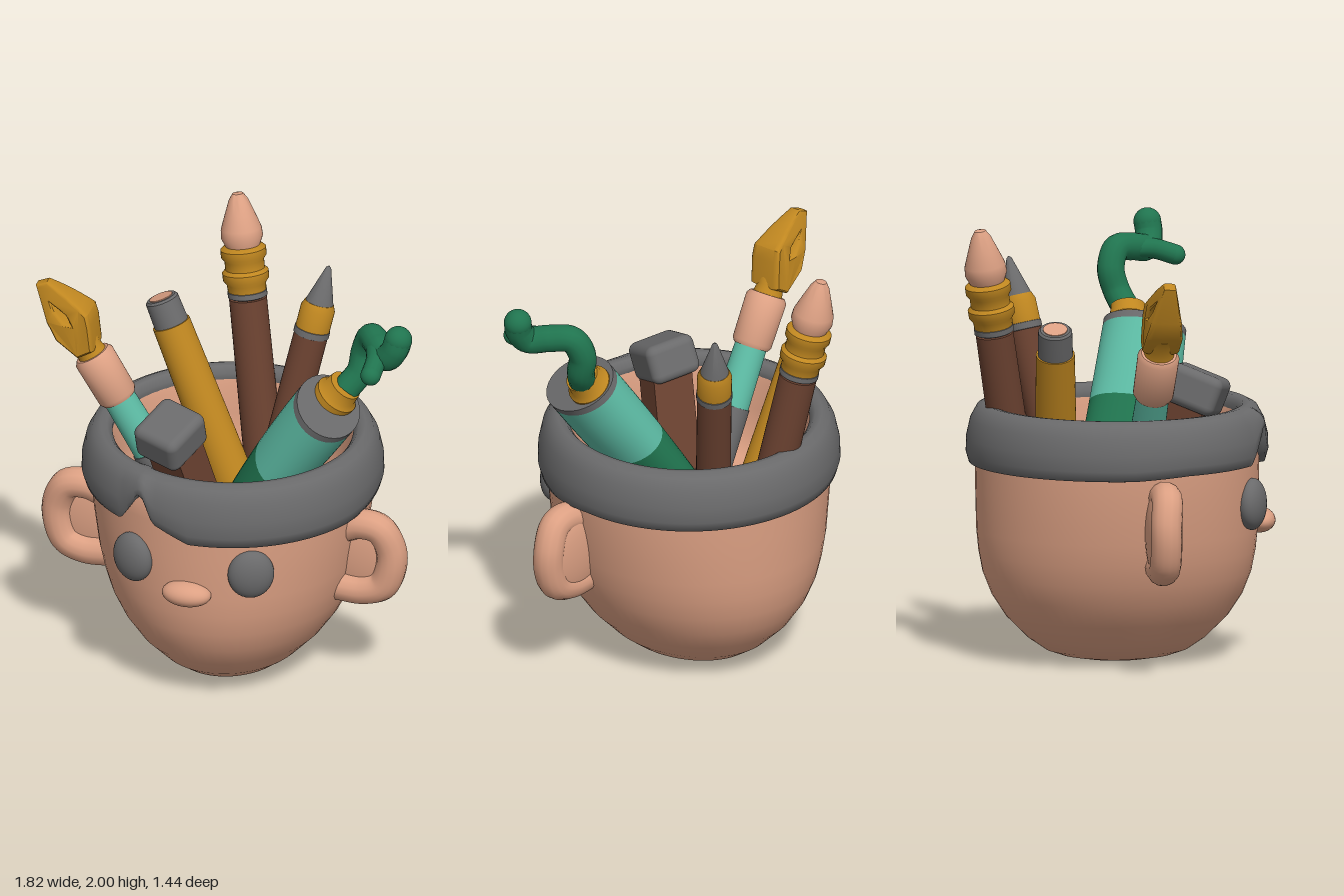
import * as THREE from 'three';
import { toCreasedNormals } from 'three/addons/utils/BufferGeometryUtils.js';
import { RoundedBoxGeometry } from 'three/addons/geometries/RoundedBoxGeometry.js';

const paint = (name, color) => Object.assign(new THREE.MeshStandardMaterial({ color }), { name });
const V = (x, y, z) => new THREE.Vector3(x, y, z);
const UP = V(0, 1, 0);
const { lerp, clamp } = THREE.MathUtils;

export function createModel() {
  const skin = paint('skin', 0xdca083);
  const gray = paint('gray', 0x6a6a6b);
  const brown = paint('brown', 0x6a4130);
  const gold = paint('gold', 0xc08720);
  const teal = paint('teal', 0x5cbaa3);
  const green = paint('green', 0x20744f);

  const root = new THREE.Group();
  root.name = 'headPenHolder';
  const CX = -0.025;

  function add(parent, name, geo, mat, pos = [0, 0, 0]) {
    const m = new THREE.Mesh(geo, mat);
    m.name = name;
    m.position.set(...pos);
    parent.add(m);
    return m;
  }
  const lathe = (pts, seg = 32) =>
    new THREE.LatheGeometry(pts.map(([r, y]) => new THREE.Vector2(r, y)), seg);
  function blob(parent, name, mat, pos, size, turn = 0) {
    const m = add(parent, name, new THREE.SphereGeometry(1, 32, 20), mat, pos);
    m.scale.set(...size);
    m.rotation.y = turn;
    return m;
  }
  // Moves each vertex by a rule
  function bend(geo, rule) {
    const p = geo.attributes.position, v = V(0, 0, 0);
    for (let i = 0; i < p.count; i++) {
      rule(v.fromBufferAttribute(p, i));
      p.setXYZ(i, v.x, v.y, v.z);
    }
    geo.computeVertexNormals();
    return geo;
  }
  // Group whose local +y runs along dir, with the tool tip at its origin
  function tool(name, tip, dir) {
    const g = new THREE.Group();
    g.name = name;
    g.position.set(...tip);
    g.quaternion.setFromUnitVectors(UP, V(...dir).normalize());
    root.add(g);
    return g;
  }
  // Turned part: [radius, height] pairs from low to high
  const turned = (g, name, mat, pts) => add(g, name, toCreasedNormals(lathe(pts), 0.7), mat);

  // Head bowl with a raised floor, deeper from front to back near the chin
  const bowl = lathe([[0, 0], [0.12, 0.003], [0.2, 0.02], [0.26, 0.045], [0.33, 0.1], [0.425, 0.2],
    [0.495, 0.3], [0.545, 0.4], [0.578, 0.5], [0.602, 0.6], [0.632, 0.8], [0.645, 0.95], [0.645, 1.1],
    [0.6, 1.14], [0.555, 1.13], [0.54, 1.08], [0.53, 0.95], [0.51, 0.82], [0.46, 0.73], [0.38, 0.705], [0, 0.7]], 64);
  bend(bowl, v => { v.z *= 1 + 0.27 * Math.max(0, 1 - v.y / 0.95) ** 1.5; });
  add(root, 'head', toCreasedNormals(bowl, 0.9), skin, [CX, 0, 0]);

  // Hair band with a sharp parting in the fringe
  const hair = lathe([[0.6, 0.93], [0.64, 0.9], [0.672, 0.905], [0.685, 0.95], [0.683, 1.02], [0.665, 1.1],
    [0.635, 1.155], [0.6, 1.172], [0.57, 1.168], [0.545, 1.14], [0.55, 1.1], [0.58, 1.0], [0.6, 0.93]], 200);
  bend(hair, v => {
    if (v.z <= 0) return;
    const d = v.x + CX + 0.265;
    const fringe = d < 0 ? lerp(1.085, 0.915, Math.min(1, -d / 0.11))
      : d < 0.06 ? lerp(1.085, 0.95, d / 0.06) : lerp(0.95, 0.88, Math.min(1, (d - 0.06) / 0.18));
    const low = lerp(0.9, fringe, Math.min(1, v.z / 0.25));
    v.y = 1.17 - (1.17 - v.y) * (1.17 - low) / 0.27;
  });
  add(root, 'hair', toCreasedNormals(hair, 1.2), gray, [CX, 0, 0]);

  // Eyes, nose and ears
  for (const s of [-1, 1]) {
    const side = s > 0 ? 'left' : 'right';
    blob(root, side + 'Eye', gray, [CX - 0.01 + s * 0.28, 0.735, 0.58], [0.106, 0.118, 0.062], s * 0.42);
    const ear = new THREE.Group();
    ear.name = side + 'Ear';
    ear.position.set(CX, 0, 0.125);
    root.add(ear);
    const rim = new THREE.CatmullRomCurve3([[0.55, 0.79, 0], [0.65, 0.83, 0.01], [0.74, 0.815, 0.01],
      [0.79, 0.72, 0], [0.79, 0.62, 0], [0.75, 0.53, 0], [0.66, 0.495, 0], [0.52, 0.5, 0]]
      .map(([x, y, z]) => V(s * x, y, z)));
    add(ear, 'earRim', new THREE.TubeGeometry(rim, 48, 0.071, 14), skin);
    blob(ear, 'earInner', skin, [s * 0.65, 0.66, -0.025], [0.19, 0.2, 0.052]);
  }
  blob(root, 'nose', skin, [-0.04, 0.622, 0.645], [0.115, 0.058, 0.075]);

  // Round paintbrush
  const brush = tool('paintbrush', [-0.21, 2, -0.65], [-0.15, 1, -0.157]);
  turned(brush, 'brushHandle', brown, [[0, -1.36], [0.09, -1.36], [0.086, -0.5], [0, -0.5]]);
  turned(brush, 'brushCollar', gray, [[0.08, -0.495], [0.09, -0.49], [0.09, -0.465], [0.08, -0.46]]);
  turned(brush, 'brushFerrule', gold, [[0.086, -0.475], [0.09, -0.43], [0.105, -0.41], [0.106, -0.375],
    [0.09, -0.36], [0.09, -0.32], [0.104, -0.3], [0.104, -0.265], [0.085, -0.25], [0, -0.25]]);
  turned(brush, 'brushTip', skin, [[0.075, -0.26], [0.096, -0.21], [0.093, -0.17], [0.068, -0.1],
    [0.044, -0.035], [0.025, -0.006], [0, 0]]);

  // Sharp pointed pencil
  const pencil = tool('darkPencil', [0.287, 1.8, -0.455], [0.2, 1, -0.2]);
  turned(pencil, 'pencilShaft', brown, [[0, -1.18], [0.08, -1.18], [0.078, -0.33], [0, -0.33]]);
  turned(pencil, 'pencilRing', gray, [[0.07, -0.345], [0.082, -0.34], [0.082, -0.31], [0.07, -0.305]]);
  turned(pencil, 'pencilCollar', gold, [[0.079, -0.315], [0.079, -0.21], [0.066, -0.18], [0, -0.18]]);
  turned(pencil, 'pencilPoint', gray, [[0.066, -0.185], [0.012, -0.01], [0, 0]]);

  // Blunt golden pencil
  const blunt = tool('goldPencil', [-0.475, 1.575, -0.34], [-0.42, 1, -0.06]);
  turned(blunt, 'goldShaft', gold, [[0, -1], [0.1, -1], [0.088, -0.13], [0, -0.13]]);
  turned(blunt, 'grayEnd', gray, [[0.07, -0.14], [0.08, -0.13], [0.077, -0.01], [0.068, 0], [0, 0]]);
  turned(blunt, 'endCore', skin, [[0.055, -0.002], [0.055, 0.004], [0, 0.004]]);

  // Dip pen with a pierced nib
  const pen = tool('dipPen', [-0.86, 1.83, 0.13], [-0.5, 0.86, 0.05]);
  turned(pen, 'penShaft', gray, [[0, -1.35], [0.09, -1.35], [0.085, -0.93], [0, -0.93]]);
  turned(pen, 'penBarrel', teal, [[0.08, -0.93], [0.074, -0.64], [0, -0.64]]);
  turned(pen, 'penGrip', skin, [[0, -0.65], [0.08, -0.65], [0.092, -0.63], [0.095, -0.42], [0.08, -0.4], [0, -0.4]]);
  turned(pen, 'nibNeck', gold, [[0.07, -0.41], [0.06, -0.36], [0.078, -0.28], [0, -0.26]]);
  const nib = new THREE.Shape();
  nib.moveTo(-0.045, 0);
  nib.lineTo(-0.005, -0.005);
  nib.quadraticCurveTo(0.06, -0.09, 0.105, -0.2);
  nib.lineTo(0.09, -0.25);
  nib.lineTo(0.04, -0.36);
  nib.lineTo(-0.03, -0.36);
  nib.lineTo(-0.075, -0.25);
  nib.lineTo(-0.075, -0.16);
  nib.closePath();
  const slot = new THREE.Path();
  slot.moveTo(-0.028, -0.07);
  slot.lineTo(-0.035, -0.13);
  slot.lineTo(-0.015, -0.2);
  slot.lineTo(0.03, -0.225);
  slot.lineTo(0.03, -0.16);
  slot.closePath();
  nib.holes.push(slot);
  const nibGeo = new THREE.ExtrudeGeometry(nib, {
    depth: 0.08, bevelThickness: 0.02, bevelSize: 0.012, bevelSegments: 2, curveSegments: 6,
  });
  nibGeo.translate(0, 0, -0.04);
  bend(nibGeo, v => { v.z *= lerp(0.5, 1.4, clamp(-v.y / 0.22, 0, 1)); });
  add(pen, 'nib', toCreasedNormals(nibGeo, 0.7), gold);

  // Block-ended stick
  const stick = tool('blockStick', [-0.215, 1.25, 0.335], [-0.17, 0.9, 0.28]);
  stick.rotateY(-0.4);
  const block = add(stick, 'stickBlock', new RoundedBoxGeometry(0.24, 0.18, 0.26, 4, 0.04), gray);
  block.rotation.z = -0.2;
  add(stick, 'stickShaft', new THREE.BoxGeometry(0.19, 0.6, 0.17), brown, [0, -0.35, 0]);

  // Paint tube, flattening toward its spread tail
  const tube = tool('paintTube', [0.48, 1.42, 0.19], [0.56, 0.83, 0.2]);
  function tubePart(name, mat, top, bottom, rows) {
    const geo = new THREE.CylinderGeometry(1, 1, top - bottom, 36, rows);
    geo.translate(0, (top + bottom) / 2, 0);
    bend(geo, v => {
      const t = clamp(-v.y, 0, 1);
      v.x *= lerp(0.155, 0.08, t * t);
      v.z *= lerp(0.19, 0.225, t);
    });
    add(tube, name, toCreasedNormals(geo, 0.7), mat);
  }
  tubePart('tubeShoulder', gray, 0.02, -0.015, 1);
  tubePart('tubeBody', teal, -0.015, -0.4, 4);
  tubePart('tubeTail', green, -0.4, -0.95, 8);

  // Tube neck and squeezed paint with a side drip
  const neck = tool('tubeNeck', [0.55, 1.52, 0.125], [0.6, 0.8, 0.05]);
  turned(neck, 'neckRing', gold, [[0, -0.14], [0.1, -0.14], [0.102, -0.07], [0.085, -0.05], [0.078, 0], [0, 0.01]]);
  function squeeze(name, pts, r) {
    const path = new THREE.CatmullRomCurve3(pts.map(p => V(...p)));
    add(root, name, new THREE.TubeGeometry(path, 48, r, 14), green);
    blob(root, name + 'End', green, pts[pts.length - 1], [r, r, r]);
  }
  squeeze('paintStream', [[0.55, 1.5, 0.12], [0.605, 1.58, 0.08], [0.62, 1.68, 0.055], [0.66, 1.765, 0.085],
    [0.72, 1.765, 0.165], [0.78, 1.755, 0.24], [0.825, 1.81, 0.255], [0.84, 1.86, 0.25]], 0.063);
  squeeze('paintDrip', [[0.71, 1.76, 0.18], [0.74, 1.75, 0.27], [0.745, 1.72, 0.365]], 0.046);

  return root;
}
